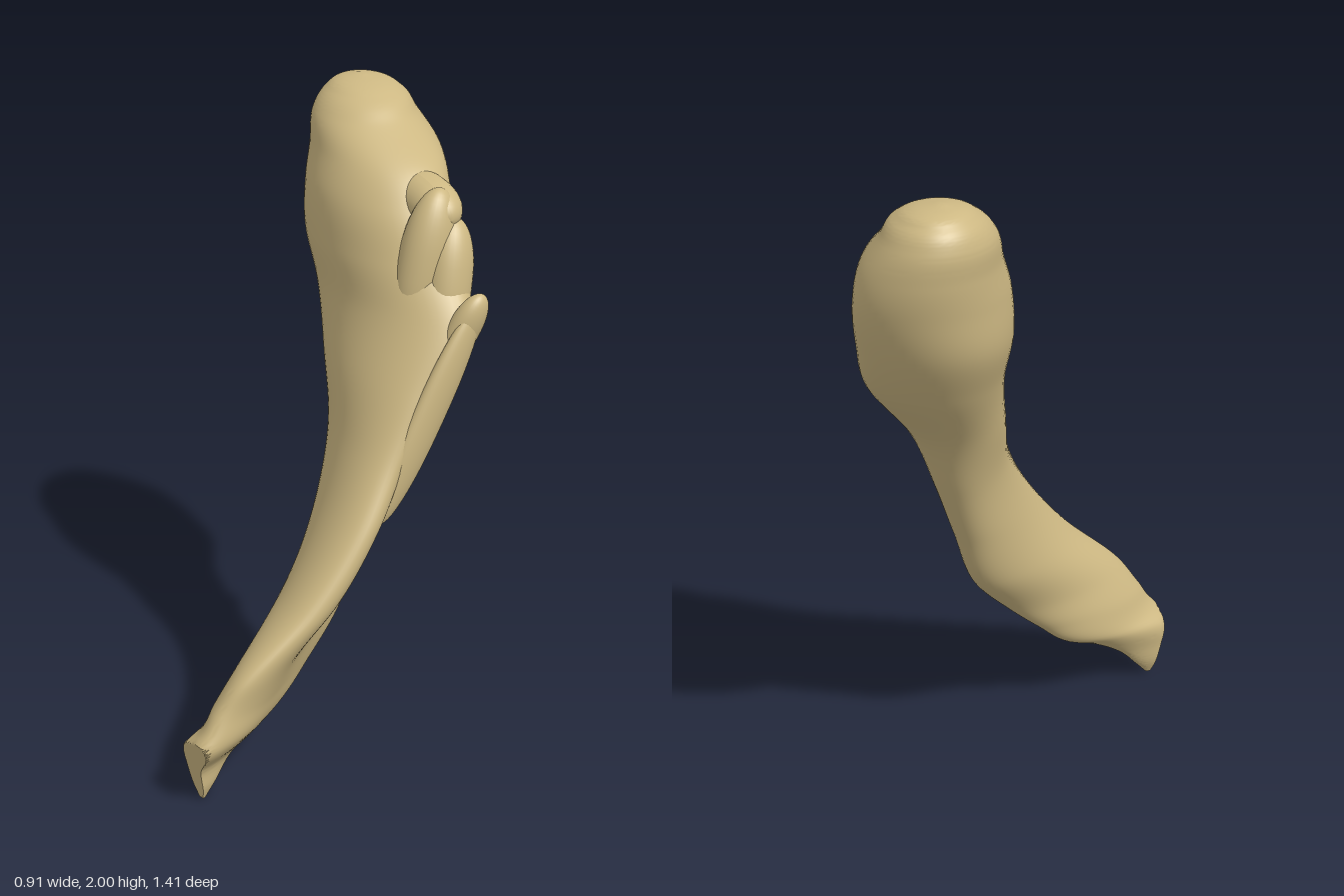
import * as THREE from 'three';
import { toCreasedNormals } from 'three/addons/utils/BufferGeometryUtils.js';

const bone = new THREE.MeshStandardMaterial({ color: 0xcdb883 });
bone.name = 'bone';

// Horizontal slices: y, xMin, xMax, zMin, zMax, skew (radians; small = thin diagonal plate), hollow
const slices = [
  [0.00, 0.170, 0.190, 0.630, 0.66, 1.50, 0.0],
  [0.04, 0.150, 0.205, 0.590, 0.74, 1.50, 0.0],
  [0.12, 0.135, 0.220, 0.500, 0.80, 1.40, 0.1],
  [0.19, 0.115, 0.275, 0.370, 0.78, 1.25, 0.2],
  [0.23, 0.105, 0.295, 0.270, 0.71, 1.10, 0.3],
  [0.32, 0.098, 0.305, 0.150, 0.640, 1.05, 0.4],
  [0.42, 0.085, 0.330, 0.030, 0.570, 0.95, 0.5],
  [0.60, 0.000, 0.385, -0.155, 0.370, 0.85, 0.6],
  [0.80, -0.060, 0.405, -0.250, 0.20, 0.85, 0.6],
  [1.00, -0.120, 0.395, -0.340, 0.07, 0.95, 0.6],
  [1.20, -0.205, 0.410, -0.440, -0.02, 1.20, 0.6],
  [1.40, -0.325, 0.425, -0.615, -0.10, 1.40, 0.55],
  [1.55, -0.405, 0.330, -0.680, -0.12, 1.42, 0.45],
  [1.70, -0.435, 0.225, -0.712, -0.15, 1.38, 0.35],
  [1.80, -0.450, 0.140, -0.700, -0.20, 1.35, 0.25],
  [1.90, -0.455, -0.040, -0.655, -0.27, 1.35, 0.1],
  [1.96, -0.425, -0.130, -0.610, -0.34, 1.35, 0.0],
  [1.99, -0.375, -0.220, -0.555, -0.41, 1.40, 0.0],
  [2.00, -0.320, -0.290, -0.490, -0.47, 1.50, 0.0],
];

function blade() {
  const spline = new THREE.CubicInterpolant(
    slices.map(s => s[0]), slices.flatMap(s => s.slice(1)), 6, new Float32Array(6));
  const rows = 180, sides = 64, pos = [], index = [];
  for (let i = 0; i <= rows; i++) {
    const f = i / rows;
    // rows gather towards both ends
    const y = 2 * (f - Math.sin(2 * Math.PI * f) / (2 * Math.PI) * 0.85);
    const [x0, x1, z0, z1, skew, hollow] = spline.evaluate(Math.min(y, 2));
    const cs = Math.cos(skew / 2), sn = Math.sin(skew / 2);
    for (let j = 0; j < sides; j++) {
      const s = j / sides * Math.PI * 2, a = Math.cos(s);
      let b = Math.sin(s);
      if (b < 0) b *= 1 - hollow * b * b; // hollow under the outer side
      const x = (x0 + x1) / 2 + (x1 - x0) / 2 * (a * cs - b * sn);
      let z = (z0 + z1) / 2 + (z1 - z0) / 2 * (a * cs + b * sn);
      z = Math.min(z, 0.657 + 0.22 * y + 0.12 * (x - 0.26)); // flat cut at the lower end
      pos.push(x, y, z);
    }
  }
  for (let i = 0; i < rows; i++) for (let j = 0; j < sides; j++) {
    const k = (j + 1) % sides, a = i * sides + j, b = i * sides + k;
    index.push(a, a + sides, b, b, a + sides, b + sides);
  }
  // close both ends
  const top = rows * sides;
  for (let j = 1; j < sides - 1; j++) {
    index.push(0, j, j + 1, top, top + j + 1, top + j);
  }
  const g = new THREE.BufferGeometry();
  g.setAttribute('position', new THREE.Float32BufferAttribute(pos, 3));
  g.setIndex(index);
  return toCreasedNormals(g, 0.8);
}

// Smooth blunt-ended swelling stretched between two points
function swelling(name, from, to, rx, rz) {
  const a = new THREE.Vector3(...from), b = new THREE.Vector3(...to);
  const g = new THREE.SphereGeometry(1, 32, 24), p = g.attributes.position;
  for (let i = 0; i < p.count; i++) {
    const y = p.getY(i);
    p.setY(i, Math.sign(y) * Math.abs(y) ** 0.85);
  }
  g.computeVertexNormals();
  const m = new THREE.Mesh(g, bone);
  m.name = name;
  m.position.copy(a).add(b).multiplyScalar(0.5);
  m.scale.set(rx, a.distanceTo(b) / 2, rz);
  m.quaternion.setFromUnitVectors(new THREE.Vector3(0, 1, 0), b.sub(a).normalize());
  return m;
}

export function createModel() {
  const model = new THREE.Group();
  model.name = 'boneFragment';
  const body = new THREE.Mesh(blade(), bone);
  body.name = 'blade';
  model.add(body);

  // Joint knobs on the upper outer corner
  model.add(
    swelling('upperKnob', [0.21, 1.30, -0.20], [0.24, 1.78, -0.30], 0.08, 0.095),
    swelling('shelf', [0.02, 1.74, -0.36], [0.30, 1.69, -0.29], 0.08, 0.085),
    swelling('middleKnob', [0.31, 1.32, -0.25], [0.27, 1.69, -0.33], 0.07, 0.08),
    swelling('lowerKnob', [0.35, 1.25, -0.21], [0.435, 1.49, -0.29], 0.045, 0.06),
    swelling('outerRidge', [0.345, 0.80, 0.05], [0.43, 1.46, -0.28], 0.035, 0.065),
  );
  return model;
}
